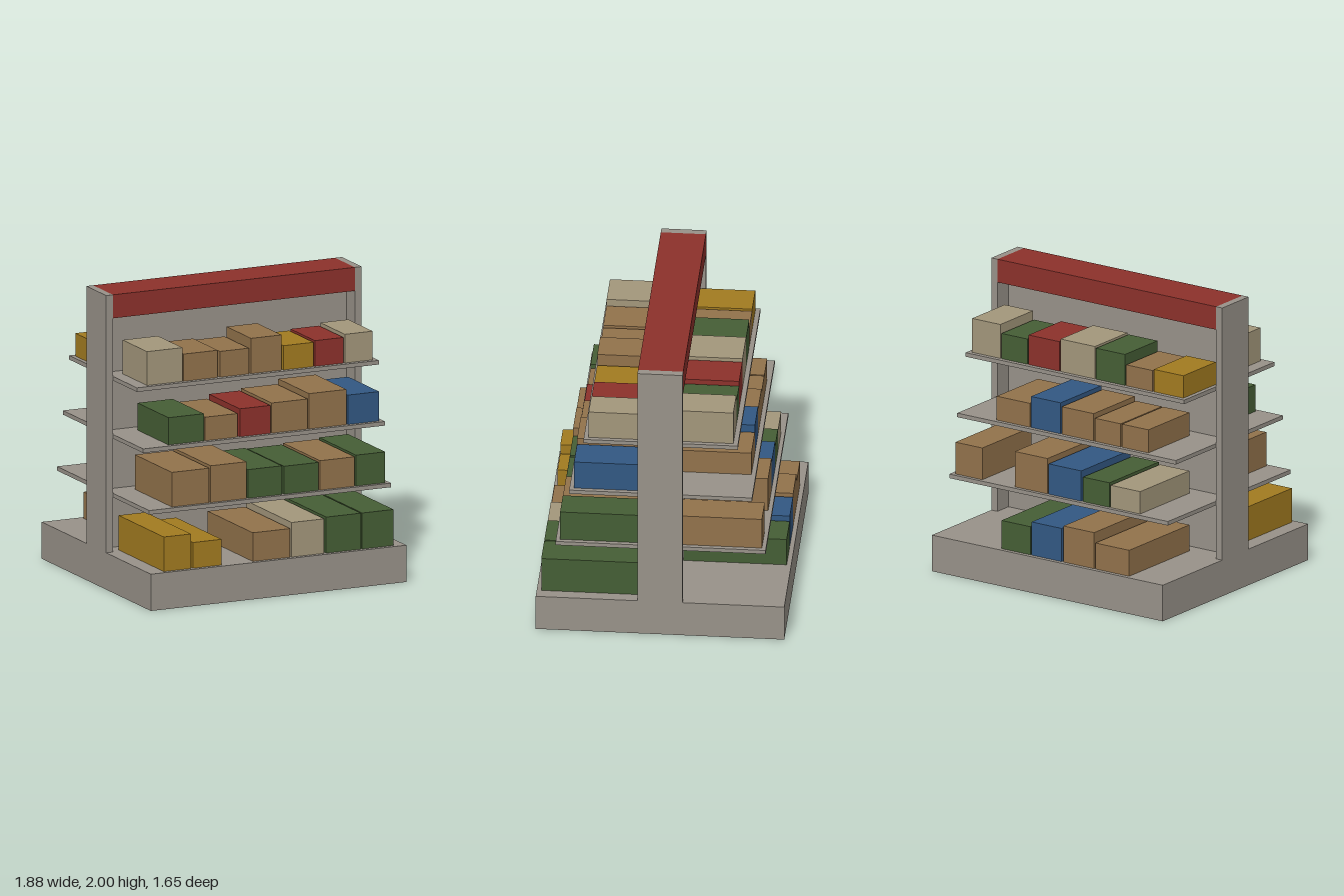
import * as THREE from 'three';

const paint = (name, color) => {
  const m = new THREE.MeshStandardMaterial({ color });
  m.name = name;
  return m;
};

export function createModel() {
  const model = new THREE.Group();
  model.name = 'storeShelf';

  const grey = paint('grey metal', 0x989289);
  const red = paint('red', 0x8c312b);
  const brown = paint('cardboard brown', 0x92724b);
  const tan = paint('tan', 0xa3977b);
  const green = paint('green', 0x455e35);
  const blue = paint('blue', 0x325883);
  const yellow = paint('yellow', 0xa27b20);
  grey.side = THREE.DoubleSide;

  // Box given by its minimum and maximum on each axis
  function box(name, material, x0, x1, y0, y1, z0, z1, parent = model) {
    const mesh = new THREE.Mesh(new THREE.BoxGeometry(x1 - x0, y1 - y0, z1 - z0), material);
    mesh.position.set((x0 + x1) / 2, (y0 + y1) / 2, (z0 + z1) / 2);
    mesh.name = name;
    parent.add(mesh);
    return mesh;
  }

  // Hollow plinth, open underneath (the bottom face is dropped)
  const base = box('base', grey, -0.94, 0.94, 0, 0.25, -0.825, 0.825);
  const index = Array.from(base.geometry.index.array);
  index.splice(18, 6);
  base.geometry.setIndex(index);
  base.geometry.clearGroups();

  // Frame: end posts, back panel and header
  box('leftPost', grey, 0.89, 0.94, 0, 2, -0.15, 0.15);
  box('rightPost', grey, -0.94, -0.89, 0, 2, -0.15, 0.15);
  box('centrePanel', grey, -0.89, 0.89, 0.25, 1.84, -0.025, 0.025);
  box('header', red, -0.89, 0.89, 1.84, 2, -0.15, 0.15);

  // Shelves, shallower towards the top
  for (const [top, depth] of [[0.65, 0.697], [1.05, 0.607], [1.445, 0.512]]) {
    box('shelf', grey, -0.89, 0.89, top - 0.028, top, -depth, depth);
  }

  // Goods: each row has its floor, outer z and boxes of [material, x0, x1, top]
  const frontRows = [
    [0.25, 0.795, [
      [yellow, -0.83, -0.63, 0.485], [yellow, -0.615, -0.405, 0.425], [brown, -0.175, 0.1, 0.445],
      [tan, 0.11, 0.35, 0.485], [green, 0.365, 0.62, 0.495], [green, 0.63, 0.86, 0.495]]],
    [0.65, 0.67, [
      [brown, -0.71, -0.435, 0.885], [brown, -0.425, -0.16, 0.9], [green, -0.15, 0.1, 0.845],
      [green, 0.115, 0.37, 0.84], [brown, 0.38, 0.635, 0.85], [green, 0.645, 0.86, 0.86]]],
    [1.05, 0.577, [
      [green, -0.69, -0.43, 1.235], [brown, -0.42, -0.18, 1.21], [red, -0.165, 0.06, 1.24],
      [brown, 0.07, 0.335, 1.255], [brown, 0.345, 0.62, 1.29], [blue, 0.63, 0.86, 1.25]]],
    [1.445, 0.48, [
      [tan, -0.8, -0.54, 1.675], [brown, -0.53, -0.28, 1.63], [brown, -0.265, -0.05, 1.62],
      [brown, -0.035, 0.19, 1.685], [yellow, 0.205, 0.425, 1.61], [red, 0.435, 0.645, 1.62],
      [tan, 0.655, 0.86, 1.64]]],
  ];
  const backRows = [
    [0.25, 0.795, [
      [brown, -0.645, -0.37, 0.43], [brown, -0.36, -0.11, 0.5], [blue, -0.095, 0.15, 0.48],
      [green, 0.16, 0.395, 0.445]]],
    [0.65, 0.67, [
      [tan, -0.645, -0.405, 0.805], [green, -0.395, -0.18, 0.82], [blue, -0.165, 0.1, 0.86],
      [brown, 0.11, 0.375, 0.895], [brown, 0.64, 0.86, 0.87]]],
    [1.05, 0.577, [
      [brown, -0.645, -0.43, 1.21], [brown, -0.42, -0.21, 1.21], [brown, -0.2, 0.06, 1.24],
      [blue, 0.07, 0.31, 1.265], [brown, 0.32, 0.59, 1.215]]],
    [1.445, 0.48, [
      [yellow, -0.86, -0.62, 1.6], [brown, -0.61, -0.395, 1.59], [green, -0.385, -0.15, 1.66],
      [tan, -0.14, 0.14, 1.67], [red, 0.15, 0.4, 1.65], [green, 0.41, 0.62, 1.62],
      [tan, 0.63, 0.86, 1.68]]],
  ];
  const inner = 0.11;
  for (const [name, rows, side] of [['frontGoods', frontRows, 1], ['backGoods', backRows, -1]]) {
    const goods = new THREE.Group();
    goods.name = name;
    model.add(goods);
    for (const [floor, outer, items] of rows) {
      const [z0, z1] = side > 0 ? [inner, outer] : [-outer, -inner];
      for (const [material, x0, x1, top] of items) {
        box('carton', material, x0, x1, floor, top, z0, z1, goods);
      }
    }
  }

  return model;
}
